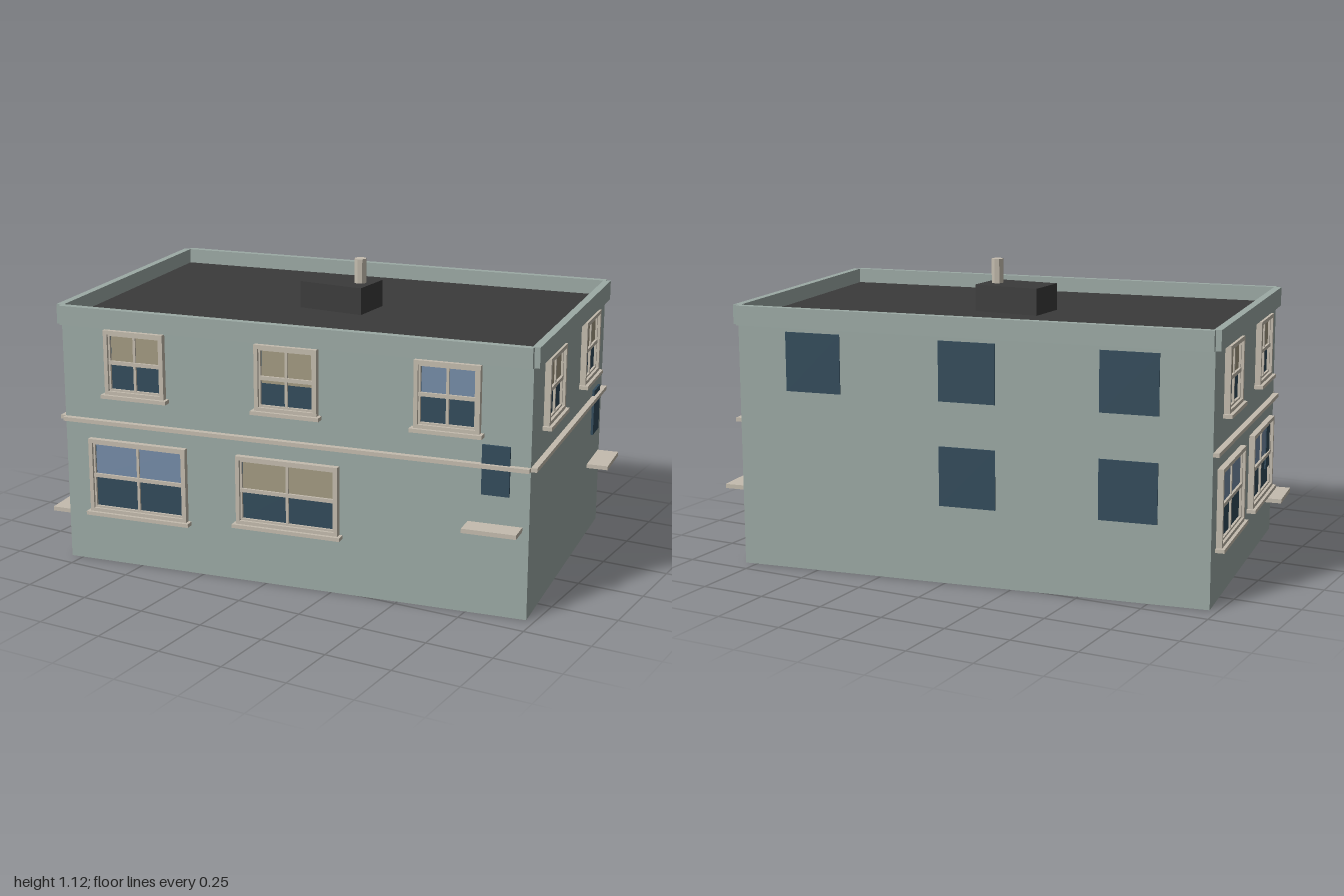
import * as THREE from 'three';

const mat = (name, color, extra = {}) => {
  const m = new THREE.MeshStandardMaterial({ color, ...extra });
  m.name = name;
  return m;
};

export function createModel() {
  const wall = mat('wall paint', 0x9caaa5);
  const roof = mat('roof felt', 0x3b3b3b);
  const trim = mat('stone trim', 0xc4bcae);
  const glass = mat('dark glass', 0x324b5b);
  const sky = mat('pale glass', 0x758ca8);
  const blind = mat('blind', 0xa39a82);

  const W = 0.894, D = 0.553; // half width and half depth of the walls
  const ROOF = 0.928;

  const model = new THREE.Group();
  model.name = 'building';
  const house = new THREE.Group();
  house.name = 'house';
  house.rotation.y = THREE.MathUtils.degToRad(9);
  model.add(house);

  // Box given by its extents along each axis
  const box = (parent, name, material, x0, x1, y0, y1, z0, z1) => {
    const mesh = new THREE.Mesh(new THREE.BoxGeometry(x1 - x0, y1 - y0, z1 - z0), material);
    mesh.position.set((x0 + x1) / 2, (y0 + y1) / 2, (z0 + z1) / 2);
    mesh.name = name;
    parent.add(mesh);
    return mesh;
  };

  // Rectangular ring lying on a wall, extruded outwards
  const ring = (parent, name, w, y0, y1, border, depth) => {
    const rect = (P, hw, a, b) => {
      const p = new P();
      p.moveTo(-hw, a); p.lineTo(hw, a); p.lineTo(hw, b); p.lineTo(-hw, b); p.closePath();
      return p;
    };
    const shape = rect(THREE.Shape, w / 2, y0, y1);
    shape.holes.push(rect(THREE.Path, w / 2 - border, y0 + border, y1 - border));
    const mesh = new THREE.Mesh(
      new THREE.ExtrudeGeometry(shape, { depth, bevelEnabled: false }), trim);
    mesh.name = name;
    parent.add(mesh);
  };

  // Main block: felt on top, dark underside
  box(house, 'walls', [wall, wall, roof, roof, wall, wall], -W, W, 0, ROOF, -D, D);

  // One group per wall: x runs along the wall, z points outwards
  const makeFace = (name, angle, dist) => {
    const g = new THREE.Group();
    g.name = name;
    g.rotation.y = angle;
    g.position.set(Math.sin(angle) * dist, 0, Math.cos(angle) * dist);
    house.add(g);
    return g;
  };
  const front = makeFace('frontWall', 0, D);
  const back = makeFace('backWall', Math.PI, D);
  const east = makeFace('leftWall', Math.PI / 2, W);
  const west = makeFace('rightWall', -Math.PI / 2, W);

  // Parapet all round, string course on three sides
  for (const [face, half] of [[front, W], [back, W], [east, D], [west, D]]) {
    box(face, 'parapet', wall, -half, half, 0.912, 0.985, -0.008, 0.02);
    if (face !== back) box(face, 'stringCourse', trim, -half, half, 0.545, 0.56, 0, 0.022);
  }

  // Sash window with casing, sill, glazing bars and an upper pane or blind
  const sash = (face, s, w, y0, y1, upper, drop = 0) => {
    const g = new THREE.Group();
    g.name = 'sashWindow';
    g.position.x = s;
    face.add(g);
    const mid = (y0 + y1) / 2, hw = w / 2;
    box(g, 'glazing', glass, -hw + 0.01, hw - 0.01, y0 + 0.01, y1 - 0.01, 0, 0.003);
    box(g, 'upperPane', upper, -hw + 0.024, hw - 0.024, mid - drop, y1 - 0.02, 0.003, 0.005);
    ring(g, 'casing', w, y0, y1, 0.015, 0.022);
    ring(g, 'sashFrame', w - 0.028, y0 + 0.014, y1 - 0.014, 0.008, 0.012);
    box(g, 'meetingRail', trim, -hw + 0.015, hw - 0.015, mid - 0.007, mid + 0.007, 0, 0.014);
    box(g, 'glazingBar', trim, -0.005, 0.005, y0 + 0.015, y1 - 0.015, 0, 0.011);
    box(g, 'sill', trim, -hw - 0.012, hw + 0.012, y0 - 0.012, y0 + 0.002, 0, 0.034);
  };

  // Front windows
  const bay = W * 2 / 3;
  sash(front, -bay, 0.238, 0.663, 0.908, blind);
  sash(front, 0, 0.238, 0.663, 0.908, blind, 0.02);
  sash(front, bay, 0.238, 0.663, 0.908, sky);
  sash(front, -bay, 0.395, 0.2, 0.485, sky);
  sash(front, 0, 0.395, 0.224, 0.485, blind);

  // Side windows
  for (const s of [-D / 2, D / 2]) {
    sash(east, s, 0.238, 0.663, 0.905, blind);
    sash(west, s, 0.238, 0.663, 0.905, blind);
    sash(west, s, 0.395, 0.2, 0.485, sky);
  }

  // Plain rear windows
  for (const s of [-bay, 0, bay]) {
    box(back, 'rearWindow', glass, s - 0.107, s + 0.107, 0.675, 0.895, 0, 0.004);
    if (s > -0.1) box(back, 'rearWindow', glass, s - 0.107, s + 0.107, 0.29, 0.51, 0, 0.004);
  }

  // Entrances: a small glazed panel above a projecting slab
  for (const [face, s, y] of [[front, 0.772, 0.325], [east, 0.439, 0.28], [west, 0.436, 0.165]]) {
    box(face, 'entrancePanel', glass, s - 0.05, s + 0.05, y + 0.122, y + 0.302, 0, 0.009);
    box(face, 'entranceSlab', trim, s - 0.098, s + 0.098, y, y + 0.016, 0, 0.083);
  }

  // Rooftop housing and vent pipe, square to the axes
  box(model, 'roofHousing', roof, -0.13, 0.13, ROOF - 0.005, 1.03, -0.087, 0.085);
  const pipe = new THREE.Mesh(
    new THREE.CylinderGeometry(0.023, 0.023, 0.095, 8), trim);
  pipe.material.flatShading = true;
  pipe.position.set(0.08, 1.0755, -0.003);
  pipe.name = 'ventPipe';
  model.add(pipe);

  return model;
}
